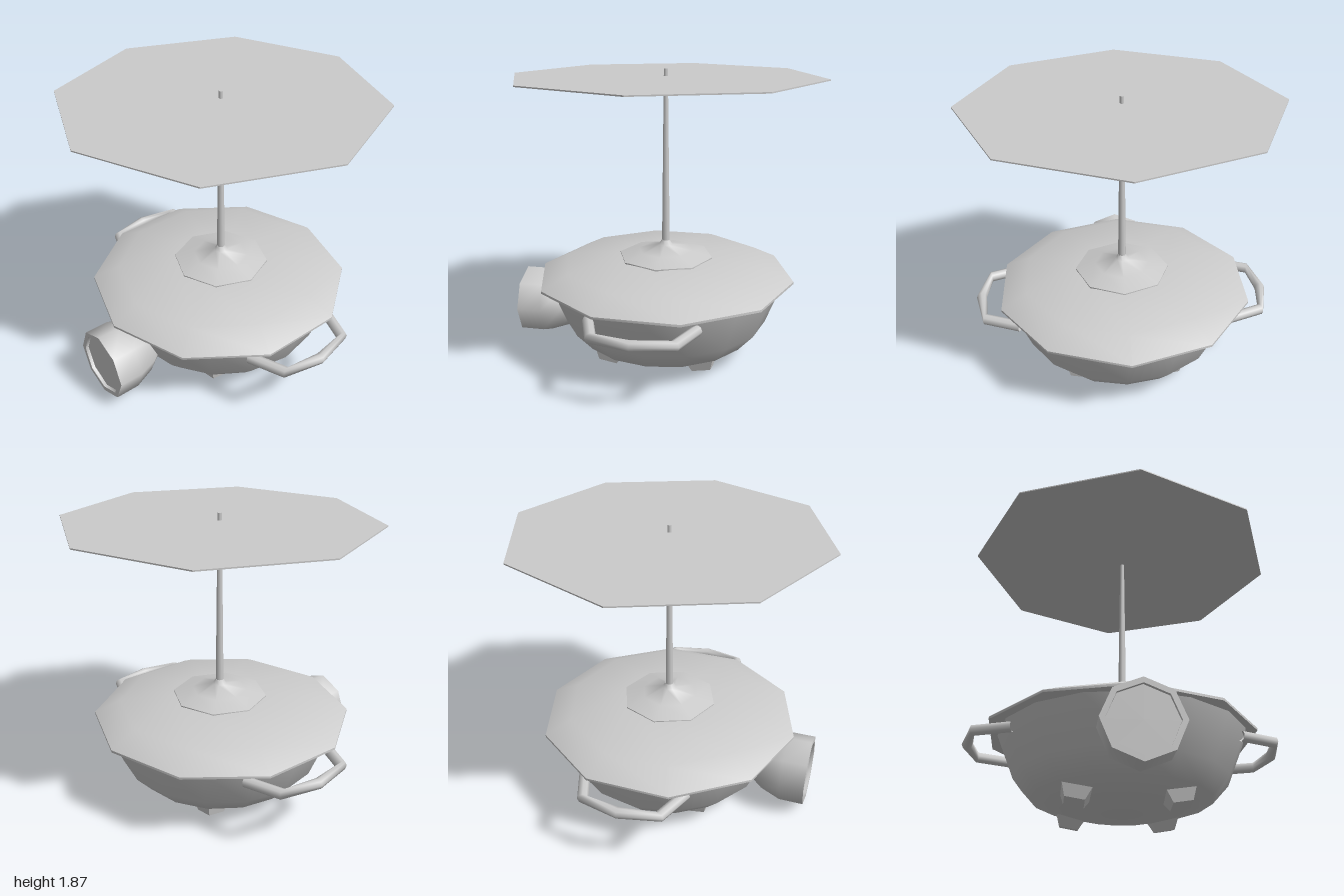
import * as THREE from 'three';
import { toCreasedNormals } from 'three/addons/utils/BufferGeometryUtils.js';

const material = new THREE.MeshStandardMaterial({ color: 0xcccccc, side: THREE.DoubleSide });

function addMesh(group, name, geometry) {
  const mesh = new THREE.Mesh(geometry, material);
  mesh.name = name;
  group.add(mesh);
  return mesh;
}

// Turned part from [radius, height] pairs, listed from bottom to top
function turned(profile, sides, crease = 0.75) {
  const points = profile.map(([r, y]) => new THREE.Vector2(r, y));
  return toCreasedNormals(new THREE.LatheGeometry(points, sides), crease);
}

export function createModel() {
  const model = new THREE.Group();
  model.name = 'domedBowlWithCanopy';

  // Round hull
  addMesh(model, 'bowl', turned([
    [0, 0.035], [0.31, 0.05], [0.56, 0.124], [0.665, 0.24], [0.775, 0.515], [0, 0.515],
  ], 16));

  // Ten-sided lid with a thin rim
  const lid = addMesh(model, 'lid', turned([
    [0, 0.515], [0.848, 0.515], [0.848, 0.53], [0.675, 0.615], [0.31, 0.655], [0, 0.665],
  ], 10));
  lid.position.set(-0.01, 0, 0.007);

  // Raised cap that carries the mast
  addMesh(model, 'lidCap', turned([
    [0.31, 0.645], [0.31, 0.662], [0.18, 0.698], [0.045, 0.735], [0.027, 0.765], [0, 0.765],
  ], 8, 0.9));

  // Tapered mast
  const mast = addMesh(model, 'mast', new THREE.CylinderGeometry(0.013, 0.026, 1.135, 8));
  mast.position.y = 1.3075;

  // Thin eight-sided canopy
  const canopy = addMesh(model, 'canopy',
    toCreasedNormals(new THREE.CylinderGeometry(1, 1, 0.008, 8), 0.5));
  canopy.position.y = 1.825;

  // Headlamp: rounded shell with a recessed face, turned along +z
  const lamp = addMesh(model, 'headlamp', turned([
    [0, 0.5], [0.115, 0.6], [0.18, 0.69], [0.228, 0.82], [0.228, 0.977],
    [0.195, 0.977], [0.195, 0.955], [0, 0.955],
  ], 8, 0.9));
  lamp.rotation.x = Math.PI / 2;
  lamp.position.y = 0.275;

  // Bent side handles
  for (const side of [1, -1]) {
    const corners = [[0.675, 0.33], [0.915, 0.238], [0.953, 0], [0.915, -0.238], [0.675, -0.33]]
      .map(([x, z]) => new THREE.Vector3(side * x, 0.45, z));
    const path = new THREE.CurvePath();
    for (let i = 0; i < 4; i++) path.add(new THREE.LineCurve3(corners[i], corners[i + 1]));
    addMesh(model, side > 0 ? 'leftHandle' : 'rightHandle',
      new THREE.TubeGeometry(path, 4, 0.034, 8, false));
  }

  // Four tapered feet, tilted to follow the hull
  const footGeometry = toCreasedNormals(
    new THREE.CylinderGeometry(0.13, 0.083, 0.08, 4).rotateY(Math.PI / 4), 0.5);
  for (const x of [1, -1]) {
    for (const z of [1, -1]) {
      const foot = addMesh(model, `${z > 0 ? 'front' : 'back'}${x > 0 ? 'Left' : 'Right'}Foot`, footGeometry);
      foot.position.set(x * 0.3, 0.06, z * 0.3);
      foot.rotation.set(-z * 0.17, 0, x * 0.17);
    }
  }

  return model;
}
